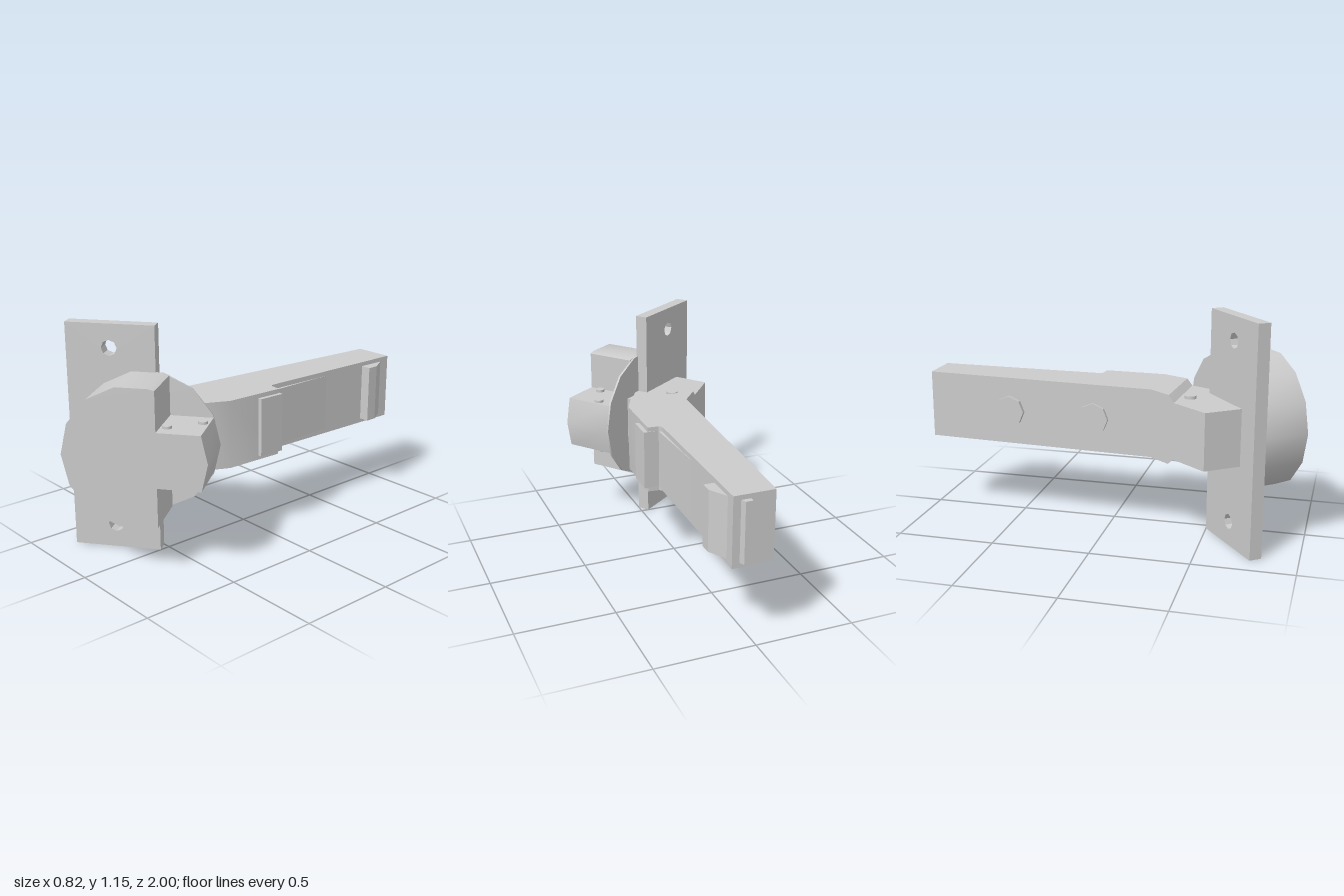
import * as THREE from 'three';
import { toCreasedNormals } from 'three/addons/utils/BufferGeometryUtils.js';
import { ConvexGeometry } from 'three/addons/geometries/ConvexGeometry.js';

const MID = 0.58; // height of the hinge's centre line
const CUP_TURN = 0.655; // yaw of the cup and door plate
const CUP_SIDES = 14;

const material = new THREE.MeshStandardMaterial({ color: 0xcccccc });

function add(parent, name, geometry) {
  const mesh = new THREE.Mesh(toCreasedNormals(geometry, 0.5), material);
  mesh.name = name;
  parent.add(mesh);
  return mesh;
}

// Upright prism from an [x, z] outline, centred on the middle height
function prism(outline, half) {
  const shape = new THREE.Shape(outline.map(([x, z]) => new THREE.Vector2(x, -z)));
  const geo = new THREE.ExtrudeGeometry(shape, { depth: 2 * half, bevelEnabled: false });
  return geo.rotateX(-Math.PI / 2).translate(0, MID - half, 0);
}

// Panel from an [x, y] shape, running from z0 to z1
function panel(shape, z0, z1) {
  return new THREE.ExtrudeGeometry(shape, { depth: z1 - z0, bevelEnabled: false }).translate(0, 0, z0);
}

function ring(cx, cy, r, sides) {
  return Array.from({ length: sides }, (_, i) => {
    const a = (i / sides) * Math.PI * 2;
    return new THREE.Vector2(cx + r * Math.cos(a), cy + r * Math.sin(a));
  });
}

// Rivet passing vertically through a part
function rivet(parent, name, x, z, r, half) {
  add(parent, name, new THREE.CylinderGeometry(r, r, 2 * half, 16)).position.set(x, MID, z);
}

function buildDoorSide() {
  const group = new THREE.Group();
  group.name = 'doorSide';
  group.rotation.y = CUP_TURN;

  // mounting plate with two screw holes
  const plate = new THREE.Shape([[-0.778, 0], [-0.336, 0], [-0.336, 1.15], [-0.778, 1.15]]
    .map(([x, y]) => new THREE.Vector2(x, y)));
  for (const y of [0.122, 1.032]) plate.holes.push(new THREE.Path(ring(-0.563, y, 0.039, 8)));
  add(group, 'mountingPlate', panel(plate, 0.372, 0.437));

  // cup: a round body notched above and below a central tab
  const c = -0.378, r = 0.352, notch = -0.269, tab = 0.137;
  const corners = ring(c, MID, r, CUP_SIDES);
  const left = corners.filter((p) => p.x < notch);
  const cup = new THREE.Shape([
    new THREE.Vector2(-0.057, MID - tab), corners[0], new THREE.Vector2(-0.057, MID + tab),
    new THREE.Vector2(notch, MID + tab), new THREE.Vector2(notch, MID + 0.335),
    ...left,
    new THREE.Vector2(notch, MID - 0.335), new THREE.Vector2(notch, MID - tab),
  ]);
  add(group, 'cup', panel(cup, 0.437, 0.699));

  // thin rim disc closing the back of the cup
  add(group, 'cupBackDisc', panel(new THREE.Shape(corners), 0.428, 0.439));

  rivet(group, 'tabRivet', -0.088, 0.525, 0.024, 0.15);
  rivet(group, 'tabRivet', -0.236, 0.619, 0.024, 0.15);
  return group;
}

function buildArm() {
  const group = new THREE.Group();
  group.name = 'arm';

  // main arm, tapering toward the back
  add(group, 'armBody', prism([
    [-0.248, 0.335], [0.104, 0.36], [0.165, 0.23], [0.175, -0.085], [0.118, -0.09], [0.104, -0.105],
    [0.12, -0.975], [-0.085, -0.975], [-0.165, 0.23],
  ], 0.175));

  // sloped step down to the front block
  const step = [];
  for (const s of [-1, 1]) {
    for (const [x, z, h] of [[-0.248, 0.335, 0.175], [0.104, 0.36, 0.175], [-0.272, 0.365, 0.143], [0.09, 0.39, 0.143]]) {
      step.push(new THREE.Vector3(x, MID + s * h, z));
    }
  }
  add(group, 'armStep', new ConvexGeometry(step));

  // front block resting against the plate and cup
  add(group, 'frontBlock', prism([
    [-0.272, 0.365], [-0.41, 0.54], [-0.295, 0.695], [-0.04, 0.5], [0.0, 0.545], [0.02, 0.53], [0.09, 0.39],
  ], 0.143));
  rivet(group, 'blockRivet', -0.16, 0.425, 0.03, 0.158);

  // link between block and cup
  add(group, 'link', prism([[0.01, 0.54], [0.05, 0.52], [0.1, 0.485], [0.058, 0.46]], 0.13));

  // inner tongue with its clips on the right-hand face
  add(group, 'tongue', prism([[0.09, -0.08], [0.12, -0.1], [0.111, -0.5], [0.09, -0.5]], 0.15));
  add(group, 'frontClip', prism([[0.11, -0.09], [0.16, 0.05], [0.193, 0.05], [0.196, -0.09]], 0.152));
  add(group, 'rearClip', prism([[0.1, -0.77], [0.17, -0.77], [0.17, -0.83], [0.118, -0.92], [0.1, -0.92]], 0.152));
  add(group, 'endClip', prism([[0.035, -0.97], [0.085, -0.97], [0.072, -1], [0.035, -1]], 0.152));

  // screw heads on the opposite face
  for (const [x, z] of [[-0.122, -0.53], [-0.149, -0.073]]) {
    const head = add(group, 'screwHead', new THREE.CylinderGeometry(0.08, 0.08, 0.025, 8).rotateZ(Math.PI / 2));
    head.position.set(x, MID, z);
    head.rotation.y = -0.066;
  }
  return group;
}

export function createModel() {
  const model = new THREE.Group();
  model.name = 'concealedHinge';
  model.add(buildDoorSide(), buildArm());
  return model;
}
